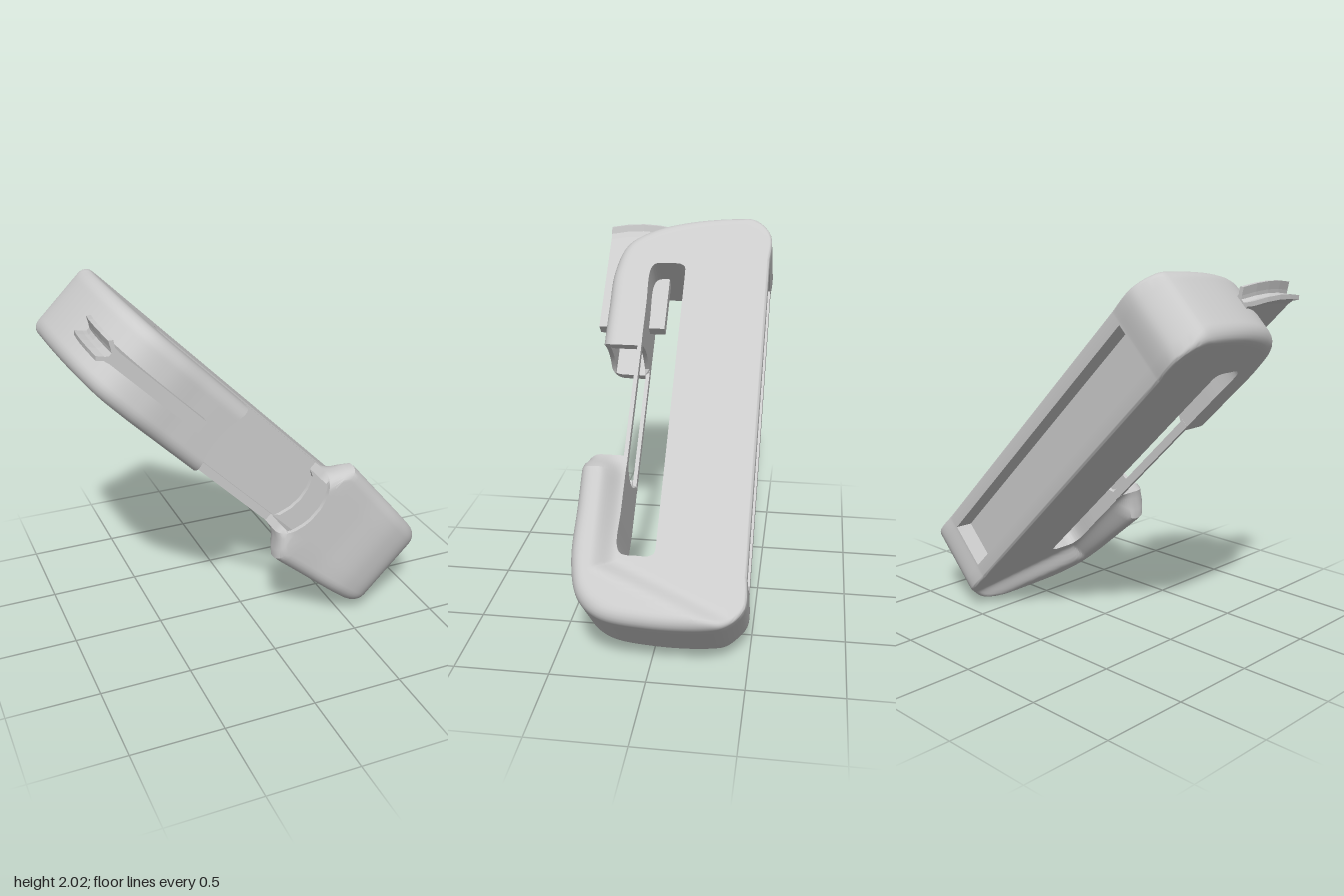
import * as THREE from 'three';
import { toCreasedNormals } from 'three/addons/utils/BufferGeometryUtils.js';

const mat = new THREE.MeshStandardMaterial({ color: 0xcccccc });
const thin = new THREE.MeshStandardMaterial({ color: 0xcccccc, side: THREE.DoubleSide });
const smooth = THREE.MathUtils.smoothstep;
const clamp = THREE.MathUtils.clamp;

// Local axes: x along the body, y across it, z depth.
// Stations round the C-shaped body: outer x, outer z, slot x, slot z
const STATIONS = [
  [-0.355, 0.41, -0.355, 0.19], [-0.62, 0.41, -0.62, 0.19], [-0.85, 0.405, -0.84, 0.19],
  [-1.03, 0.35, -0.88, 0.17], [-1.13, 0.22, -0.89, 0.14], [-1.2, 0, -0.89, 0.09],
  [-1.23, -0.33, -0.89, 0.03], [-1.215, -0.39, -0.885, 0.015], [-1.1, -0.482, -0.87, -0.005],
  [-0.935, -0.482, -0.83, -0.01], [-0.925, -0.482, -0.82, -0.01], [0, -0.482, 0, -0.01],
  [0.905, -0.482, 0.77, -0.01], [0.915, -0.482, 0.78, -0.01], [1.07, -0.482, 0.82, -0.005],
  [1.17, -0.39, 0.835, 0.015], [1.195, -0.3, 0.84, 0.03], [1.205, 0, 0.84, 0.09],
  [1.17, 0.25, 0.84, 0.14], [1.08, 0.36, 0.83, 0.17], [0.9, 0.41, 0.79, 0.19],
  [0.6, 0.41, 0.6, 0.19], [0.3, 0.41, 0.3, 0.19],
];

// Half width of the body: slim, flaring into the wide head at the lower end
function halfWidth(x, z) {
  const foot = 0.86 + 0.4 * (0.2 - z);
  const flare = Math.max(smooth(z, 0.18, 0.31), smooth(x, foot, foot + 0.13));
  const size = 0.122 - 0.06 * clamp((x - 0.42) / 0.7, 0, 1);
  return 0.212 + flare * smooth(x, 0.3, 0.42) * size;
}

// One cross-section, from the slot edge out over the rim and back
function section(outer, inner, u, last) {
  const length = outer.distanceTo(inner);
  const r = 0.02 + 0.055 * smooth(outer.z, -0.48, -0.3);
  const side = [];
  const add = (d, drop) => {
    const p = outer.clone().lerp(inner, d / length);
    p.y = halfWidth(p.x, p.z) - drop;
    side.push(p);
  };
  for (let k = 0; k < 12; k++) add(length + (r - length) * k / 12, 0);
  for (let k = 0; k <= 6; k++) {
    const q = k / 6 * Math.PI / 2;
    add(r * (1 - Math.sin(q)), r * (1 - Math.cos(q)));
  }
  const recessed = outer.z < -0.45 && outer.x > -0.93 && outer.x < 0.91;
  for (const y of [0.131, 0.128, 0.085, 0.04]) {
    const p = outer.clone().setY(y);
    if (recessed && y < 0.13) p.z += 0.1;
    side.push(p);
  }
  const mirrored = side.map(p => new THREE.Vector3(p.x, -p.y, p.z)).reverse();
  const wall = [-0.14, -0.07, 0, 0.07, 0.14].map(y => inner.clone().setY(y));
  const loop = [...side, ...mirrored, ...wall];
  // concave arc at the two open ends
  const bow = u < 1 ? -0.055 * (1 - u) : u > last - 1 ? 0.09 * (u - last + 1) : 0;
  for (const p of loop) p.x += bow * Math.max(0, 1 - (p.y / 0.212) ** 2);
  return loop;
}

// Hollow inside an open end
function pocket(loop, dir) {
  const mouth = loop.map(p => new THREE.Vector3(p.x, clamp(p.y, -0.165, 0.165), clamp(p.z, 0.215, 0.385)));
  const deep = mouth.map(p => p.clone().setX(p.x + dir * 0.25));
  const end = deep.map(() => new THREE.Vector3(loop[0].x + dir * 0.3, 0, 0.3));
  return [mouth, deep, end];
}

function loft(loops) {
  const n = loops[0].length, index = [];
  for (let i = 0; i < loops.length - 1; i++) for (let j = 0; j < n; j++) {
    const a = i * n + j, b = i * n + (j + 1) % n;
    index.push(a, a + n, b + n, a, b + n, b);
  }
  const geo = new THREE.BufferGeometry().setFromPoints(loops.flat());
  geo.setIndex(index);
  return toCreasedNormals(geo, 0.6);
}

function bodyGeometry() {
  const curve = (i) => new THREE.CatmullRomCurve3(STATIONS.map(s => new THREE.Vector3(s[i], 0, s[i + 1])));
  const outer = curve(0), inner = curve(2);
  const last = STATIONS.length - 1, steps = last * 8;
  const loops = [];
  for (let i = 0; i <= steps; i++) {
    loops.push(section(outer.getPoint(i / steps), inner.getPoint(i / steps), i / 8, last));
  }
  return loft([...pocket(loops[0], -1).reverse(), ...loops, ...pocket(loops[steps], 1)]);
}

// Fin with a forked outer end
function finGeometry() {
  const half = [[-0.56, 0.035], [-1.18, 0.035], [-1.215, 0.04], [-1.245, 0.062], [-1.262, 0.045], [-1.225, 0.022], [-1.21, 0.01]];
  const pts = [...half, ...half.map(([x, y]) => [x, -y]).reverse()];
  const shape = new THREE.Shape(pts.map(([x, y]) => new THREE.Vector2(x, y)));
  const geo = new THREE.ExtrudeGeometry(shape, { depth: 0.38, bevelEnabled: false, steps: 4 });
  geo.translate(0, 0, 0.1);
  // the tip leans in slightly at both ends of its depth
  const pos = geo.attributes.position;
  for (let i = 0; i < pos.count; i++) {
    if (pos.getX(i) < -1) pos.setX(i, pos.getX(i) + 0.025 * ((pos.getZ(i) - 0.29) / 0.19) ** 2);
  }
  geo.computeVertexNormals();
  return geo;
}

export function createModel() {
  const model = new THREE.Group();
  const tilted = new THREE.Group();
  tilted.name = 'tiltedBody';
  tilted.rotation.z = -Math.PI / 4;
  tilted.position.y = 1;
  model.add(tilted);
  const add = (name, geo, material = mat) => {
    const mesh = new THREE.Mesh(geo, material);
    mesh.name = name;
    tilted.add(mesh);
    return mesh;
  };

  add('bodyShell', bodyGeometry(), thin);
  add('frontFin', finGeometry());

  // slim rails bridging the front opening
  for (const s of [-1, 1]) {
    add(s > 0 ? 'upperRail' : 'lowerRail', new THREE.BoxGeometry(0.75, 0.046, 0.022))
      .position.set(-0.02, s * 0.188, 0.2);
  }
  return model;
}
